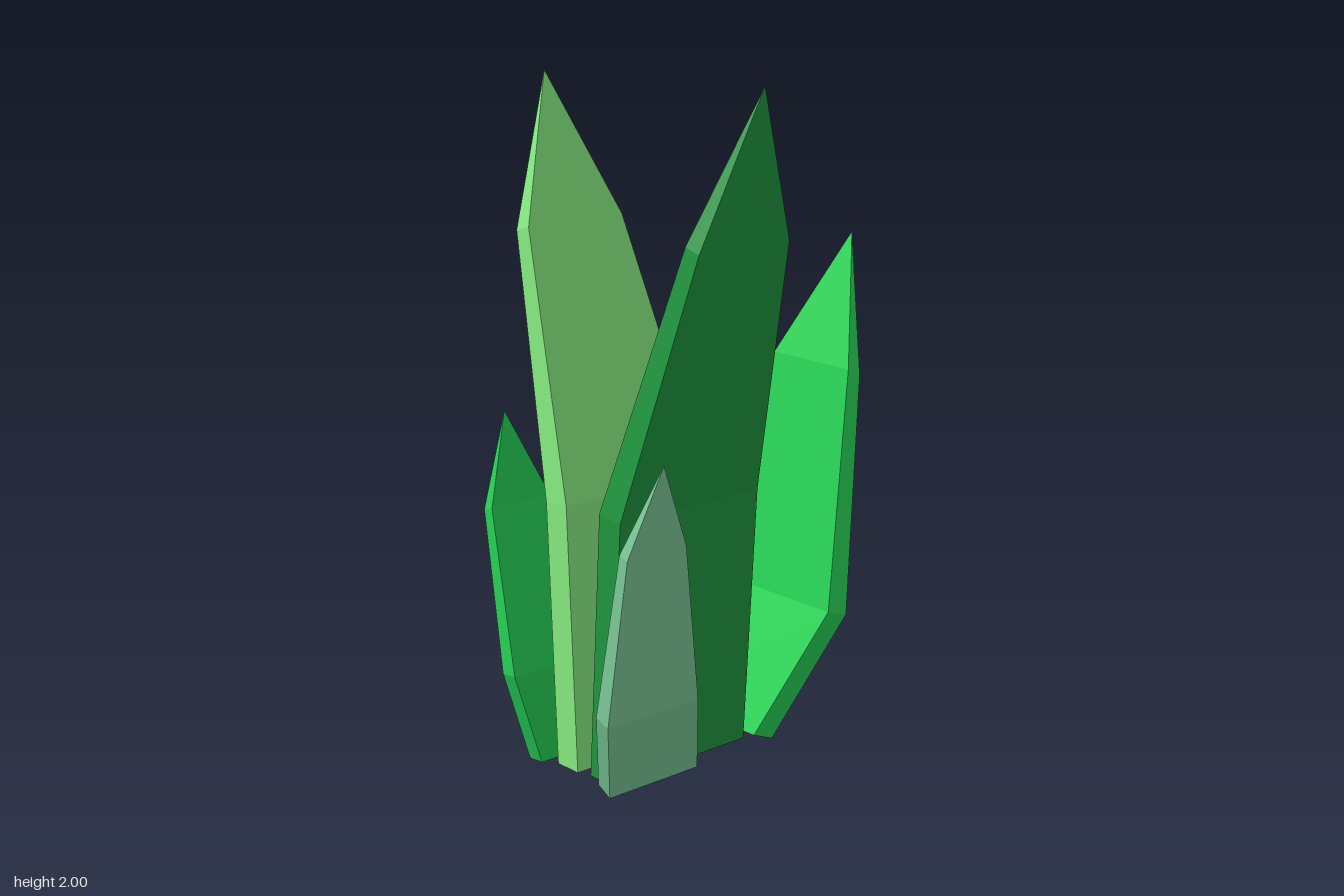
import * as THREE from 'three';

// A bent, flat-sided leaf: four-cornered rings that close in a point.
// Each ring is [u0, y0, u1, y1, w0, w1]: two thickness points (u, y) and the width range w.
// axis 'x' bends the leaf sideways (u = x, w = z); axis 'z' bends it back (u = z, w = x).
function makeLeaf(name, color, axis, rings, tip) {
  const corners = rings.map(([u0, y0, u1, y1, w0, w1]) => axis === 'x'
    ? [[u0, y0, w0], [u0, y0, w1], [u1, y1, w1], [u1, y1, w0]]
    : [[w0, y0, u0], [w0, y1, u1], [w1, y1, u1], [w1, y0, u0]]);
  const positions = [];
  const tri = (a, b, c) => positions.push(...a, ...b, ...c);
  const quad = (a, b, c, d) => { tri(a, b, c); tri(a, c, d); };

  // base cap
  const base = corners[0];
  quad(base[3], base[2], base[1], base[0]);
  // sides and pointed end
  corners.forEach((ring, r) => {
    const next = corners[r + 1];
    for (let i = 0; i < 4; i++) {
      const j = (i + 1) % 4;
      if (next) quad(ring[i], ring[j], next[j], next[i]);
      else tri(ring[i], ring[j], tip);
    }
  });

  const geometry = new THREE.BufferGeometry();
  geometry.setAttribute('position', new THREE.Float32BufferAttribute(positions, 3));
  geometry.computeVertexNormals();
  const mesh = new THREE.Mesh(geometry, new THREE.MeshStandardMaterial({ color, flatShading: true }));
  mesh.name = name;
  return mesh;
}

export function createModel() {
  const group = new THREE.Group();
  group.name = 'plant';
  group.add(
    // two tall centre leaves
    makeLeaf('tallRightLeaf', 0x86ec80, 'x', [
      [-0.13, 0.025, -0.04, 0.025, -0.12, 0.41],
      [-0.165, 0.81, -0.075, 0.82, -0.11, 0.41],
      [-0.33, 1.565, -0.275, 1.58, 0.03, 0.37],
    ], [-0.365, 2, 0.235]),
    makeLeaf('tallLeftLeaf', 0x1f963f, 'x', [
      [0, 0.025, 0.09, 0.025, -0.12, 0.395],
      [0.04, 0.82, 0.13, 0.81, -0.133, 0.385],
      [0.24, 1.58, 0.295, 1.565, -0.09, 0.243],
    ], [0.33, 2, 0.04]),
    // broad leaf leaning back
    makeLeaf('backLeaf', 0x28d858, 'z', [
      [-0.215, 0.005, -0.14, 0.035, -0.365, 0.115],
      [-0.375, 0.4, -0.3, 0.425, -0.22, 0.26],
      [-0.455, 1.11, -0.407, 1.135, -0.09, 0.22],
    ], [0.1, 1.51, -0.535]),
    // two short front leaves
    makeLeaf('shortRightLeaf', 0x25d055, 'x', [
      [-0.225, 0.02, -0.168, 0.025, 0.11, 0.44],
      [-0.22, 0.31, -0.165, 0.315, 0.205, 0.535],
      [-0.325, 0.775, -0.288, 0.785, 0.3, 0.51],
    ], [-0.333, 1.05, 0.425]),
    makeLeaf('shortLeftLeaf', 0x7cc898, 'x', [
      [0.09, 0.04, 0.14, 0.015, 0.11, 0.44],
      [0.2, 0.305, 0.25, 0.285, 0.205, 0.535],
      [0.275, 0.785, 0.308, 0.775, 0.3, 0.51],
    ], [0.36, 1.035, 0.425]),
  );
  return group;
}
